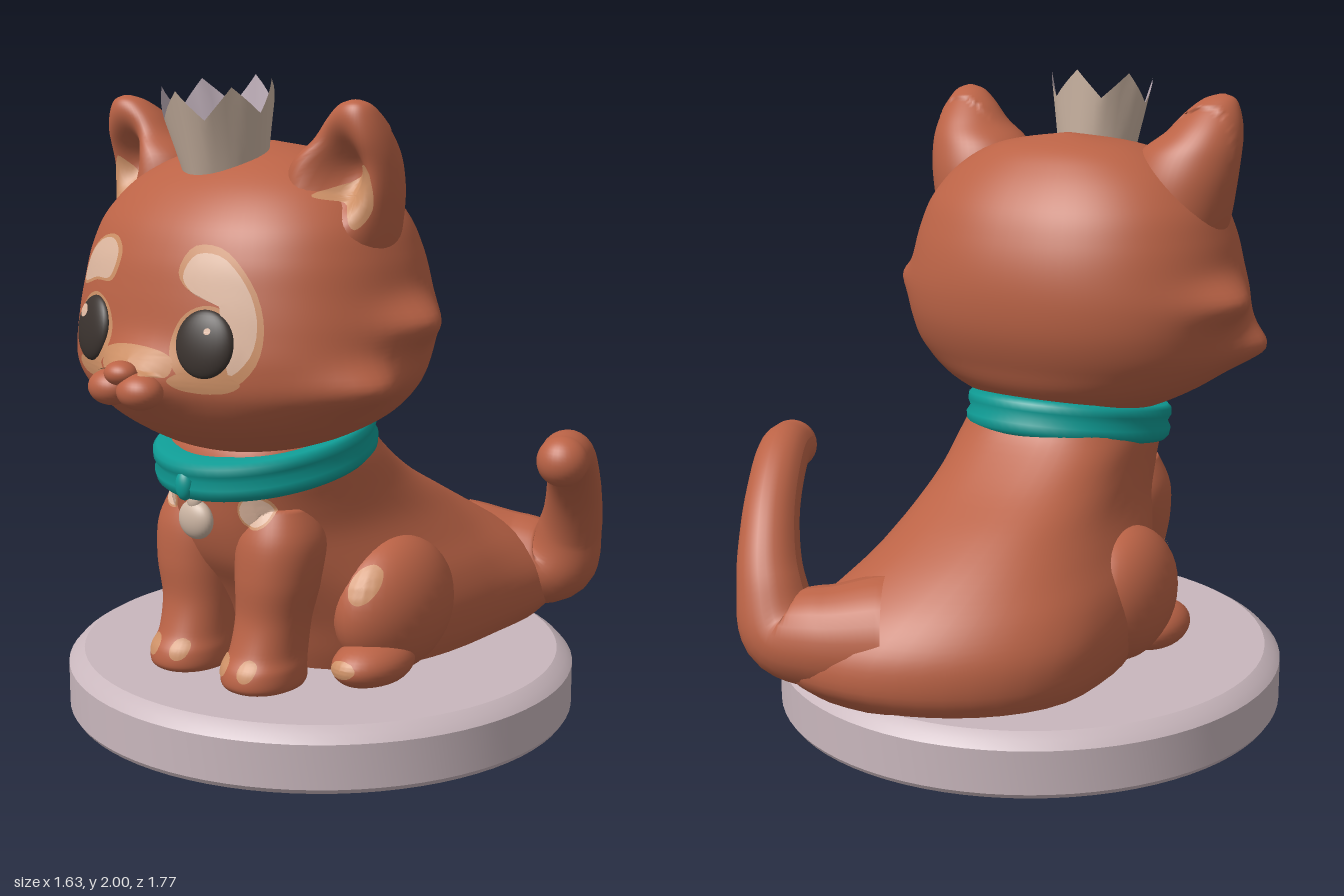
import * as THREE from 'three';
import { toCreasedNormals } from 'three/addons/utils/BufferGeometryUtils.js';

const mat = (name, color, side = THREE.FrontSide) => {
  const m = new THREE.MeshStandardMaterial({ color, side });
  m.name = name;
  return m;
};
const bell = (...d) => Math.exp(-d.reduce((sum, v) => sum + v * v, 0));

// Catmull-Rom blend of rows of numbers, t from 0 to 1
function blend(rows, t) {
  const f = t * (rows.length - 1), i = Math.min(Math.floor(f), rows.length - 2), u = f - i;
  const at = k => rows[Math.max(0, Math.min(rows.length - 1, k))];
  return rows[i].map((_, k) => {
    const a = at(i - 1)[k], b = at(i)[k], c = at(i + 1)[k], d = at(i + 2)[k];
    return b + 0.5 * u * (c - a + u * (2 * a - 5 * b + 4 * c - d + u * (3 * (b - c) + d - a)));
  });
}

// Smooth solid from level slices [y, centre x, half width, front z, back z], bottom to top
function loft(rows, { steps = 40, segs = 48, power = 2.2, warp } = {}) {
  const pos = [], index = [];
  const add = v => { if (warp) warp(v); pos.push(v.x, v.y, v.z); };
  for (let i = 0; i <= steps; i++) {
    const [y, cx, rx, front, back] = blend(rows, i / steps);
    for (let j = 0; j < segs; j++) {
      const a = j / segs * Math.PI * 2;
      const p = v => Math.sign(v) * Math.abs(v) ** (2 / power);
      add(new THREE.Vector3(cx + rx * p(Math.cos(a)), y, (front + back) / 2 + (front - back) / 2 * p(Math.sin(a))));
      if (i < steps) {
        const q = i * segs + j, r = i * segs + (j + 1) % segs;
        index.push(q, q + segs, r, r, q + segs, r + segs);
      }
    }
  }
  const bottom = (steps + 1) * segs, top = bottom + 1, last = steps * segs;
  for (const r of [rows[0], rows[rows.length - 1]]) add(new THREE.Vector3(r[1], r[0], (r[3] + r[4]) / 2));
  for (let j = 0; j < segs; j++) {
    const k = (j + 1) % segs;
    index.push(bottom, j, k, top, last + k, last + j);
  }
  const g = new THREE.BufferGeometry();
  g.setAttribute('position', new THREE.Float32BufferAttribute(pos, 3));
  g.setIndex(index);
  g.computeVertexNormals();
  return g;
}

export function createModel() {
  const group = new THREE.Group();
  const fur = mat('russet fur', 0xbb6346), tan = mat('tan marking', 0xcd9066), pale = mat('pale marking', 0xdfb8a0);
  const teal = mat('teal cloth', 0x0f9c95), dark = mat('dark eye', 0x3b332f), stone = mat('pale mauve base', 0xc9b7bd);
  const metal = mat('beige crown', 0xccb5a3), lining = mat('crown lining', 0xbcacb6, THREE.DoubleSide);
  const add = (name, geo, material, parent = group) => {
    const m = new THREE.Mesh(geo, material);
    m.name = name;
    parent.add(m);
    return m;
  };
  const blob = (name, material, p, s) => {
    const m = add(name, new THREE.SphereGeometry(1, 32, 20), material);
    m.position.set(...p);
    m.scale.set(...s);
    return m;
  };
  const lathe = (pts, n) => new THREE.LatheGeometry(pts.map(p => new THREE.Vector2(...p)), n);

  // Round base
  add('base', toCreasedNormals(lathe([[0, 0], [0.805, 0], [0.815, 0.015], [0.815, 0.15], [0.795, 0.172], [0.765, 0.19], [0, 0.19]], 80), 0.5), stone);

  // Seated body, swinging to the left at the rump
  const body = add('body', loft([
    [0.18, 0, 0.4, 0.27, -0.78], [0.25, 0, 0.43, 0.3, -0.84], [0.35, 0, 0.44, 0.34, -0.83], [0.45, 0, 0.415, 0.4, -0.75],
    [0.55, 0, 0.365, 0.47, -0.62], [0.65, 0, 0.325, 0.51, -0.46], [0.75, 0, 0.31, 0.53, -0.28], [0.86, 0, 0.305, 0.54, -0.13],
    [0.95, 0, 0.27, 0.5, -0.05], [1.02, 0, 0.2, 0.4, 0.05]],
  { power: 2.35, warp: v => { v.x += 0.21 * (Math.max(0, -0.35 - v.z) / 0.5) ** 2; } }), fur);
  const skin = [body];

  // Head with cheek tufts and a raised muzzle
  skin.push(add('head', loft([
    [0.885, 0, 0.03, 0.33, 0.27], [0.91, 0, 0.22, 0.52, 0.1], [1.0, 0, 0.42, 0.68, -0.05], [1.1, 0, 0.535, 0.75, -0.11],
    [1.2, 0, 0.57, 0.765, -0.15], [1.3, 0, 0.57, 0.755, -0.165], [1.4, 0, 0.55, 0.74, -0.16], [1.5, 0, 0.525, 0.715, -0.135],
    [1.6, 0, 0.48, 0.665, -0.09], [1.7, 0, 0.385, 0.565, -0.01], [1.77, 0, 0.24, 0.43, 0.08], [1.805, 0, 0.02, 0.25, 0.21]],
  { steps: 72, segs: 80, warp: v => {
    const tuft = 0.065 * bell((v.y - 1.31) / 0.06, (v.z - 0.22) / 0.14) + 0.075 * bell((v.y - 1.14) / 0.065, (v.z - 0.44) / 0.13);
    v.x += Math.sign(v.x) * tuft * Math.min(1, Math.abs(v.x) / 0.4);
    if (v.z > 0.3) v.z += 0.07 * bell(v.x / 0.14, (v.y - 1.15) / 0.085);
  } }), fur));

  for (const s of [-1, 1]) {
    const side = s > 0 ? 'left' : 'right';
    // Cupped ear
    skin.push(add(side + 'Ear', loft([
      [1.4, 0.34, 0.13, 0.42, 0.18], [1.52, 0.365, 0.15, 0.47, 0.14], [1.65, 0.37, 0.175, 0.48, 0.14], [1.75, 0.39, 0.165, 0.475, 0.17],
      [1.82, 0.43, 0.12, 0.465, 0.22], [1.88, 0.449, 0.085, 0.445, 0.28], [1.92, 0.462, 0.05, 0.42, 0.33], [1.935, 0.468, 0.01, 0.39, 0.37]]
      .map(r => [r[0], s * r[1], r[2], r[3], r[4]]),
    { power: 2, warp: v => { if (v.z > 0.3) v.z -= 0.15 * bell((v.x * s - 0.435) / 0.07, (v.y - 1.73) / 0.11); } }), fur));
    // Front leg and paw
    skin.push(add(side + 'FrontLeg', loft([
      [0.18, 0.155, 0.1, 0.54, 0.31], [0.205, 0.155, 0.115, 0.565, 0.29], [0.25, 0.155, 0.115, 0.56, 0.29], [0.3, 0.155, 0.107, 0.53, 0.28],
      [0.4, 0.16, 0.11, 0.505, 0.27], [0.52, 0.17, 0.125, 0.51, 0.24], [0.64, 0.17, 0.13, 0.5, 0.22], [0.74, 0.16, 0.1, 0.46, 0.25]]
      .map(r => [r[0], s * r[1], r[2], r[3], r[4]])), fur));
    // Haunch and hind foot
    skin.push(blob(side + 'Haunch', fur, [s * 0.335, 0.385, 0.03], [0.145, 0.215, 0.24]));
    skin.push(blob(side + 'HindFoot', fur, [s * 0.37, 0.24, 0.17], [0.105, 0.075, 0.155]));
    // Upper lip
    skin.push(blob(side + 'Lip', fur, [s * 0.06, 1.13, 0.822], [0.072, 0.052, 0.062]));
  }

  // Tail, tapering up and forward
  const path = new THREE.CatmullRomCurve3([
    [0.12, 0.36, -0.62], [0.28, 0.355, -0.71], [0.41, 0.37, -0.75], [0.47, 0.5, -0.735], [0.53, 0.65, -0.66],
    [0.59, 0.765, -0.55], [0.64, 0.82, -0.45], [0.675, 0.82, -0.37]].map(p => new THREE.Vector3(...p)));
  const radii = [[0.19], [0.165], [0.14], [0.11], [0.094], [0.086], [0.083], [0.08]];
  const tail = new THREE.TubeGeometry(path, 56, 1, 24);
  const tp = tail.attributes.position, v = new THREE.Vector3();
  for (let i = 0; i < tp.count; i++) {
    const u = Math.floor(i / 25) / 56, c = path.getPointAt(u);
    v.fromBufferAttribute(tp, i).sub(c).multiplyScalar(blend(radii, u)[0]).add(c);
    tp.setXYZ(i, v.x, v.y, v.z);
  }
  tail.computeVertexNormals();
  add('tail', tail, fur);
  blob('tailTip', fur, [0.675, 0.82, -0.37], [0.08, 0.08, 0.08]);

  // Collar with two folds, knot and pendant
  const collar = add('collar', lathe([[0.86, -0.058], [0.97, -0.06], [1.01, -0.045], [1.02, -0.02], [0.985, 0.002],
    [1.015, 0.022], [1.01, 0.045], [0.97, 0.058], [0.8, 0.058]], 64), teal);
  collar.position.set(0, 0.885, 0.25);
  collar.rotation.x = 0.17;
  collar.scale.set(0.323, 1, 0.36);
  blob('knot', teal, [0, 0.81, 0.6], [0.03, 0.045, 0.025]);
  blob('pendant', metal, [0, 0.698, 0.555], [0.065, 0.06, 0.035]);
  blob('pendantLoop', metal, [0, 0.755, 0.56], [0.025, 0.03, 0.02]);

  // Six-pointed crown, tipped forward
  const crown = new THREE.Group();
  crown.name = 'crown';
  crown.position.set(0, 1.73, 0.415);
  crown.rotation.x = 0.14;
  group.add(crown);
  const wall = bottomRadius => {
    const g = new THREE.CylinderGeometry(0.165, bottomRadius, 1, 48, 5, true), p = g.attributes.position;
    for (let i = 0; i < p.count; i++) {
      const turn = Math.atan2(p.getX(i), p.getZ(i)) / Math.PI * 3 + 6;
      const point = Math.abs(1 - 2 * (turn % 1));
      p.setY(i, (p.getY(i) + 0.5) * (0.165 + 0.085 * point));
    }
    g.computeVertexNormals();
    return g;
  };
  add('crownWall', wall(0.125), metal, crown);
  add('crownLining', wall(0.1), lining, crown);
  const cushion = add('crownCushion', new THREE.CircleGeometry(0.123, 40), teal, crown);
  cushion.rotation.x = -Math.PI / 2;
  cushion.position.y = 0.085;

  // Painted markings laid on the surface from the front
  group.updateMatrixWorld(true);
  const ray = new THREE.Raycaster();
  const probe = (x, y, lift) => {
    ray.set(new THREE.Vector3(x, y, 3), new THREE.Vector3(0, 0, -1));
    const hit = ray.intersectObjects(skin, false)[0];
    if (!hit) return null;
    const normal = hit.face.normal.clone().transformDirection(hit.object.matrixWorld);
    return { point: hit.point.clone().addScaledVector(normal, lift), normal };
  };
  function marking(name, material, outline, scale = 1, lift = 0.005) {
    const n = 36, rings = 7;
    const pts = new THREE.CatmullRomCurve3(outline.map(p => new THREE.Vector3(...p, 0)), true).getPoints(n).slice(0, n);
    if (THREE.ShapeUtils.isClockWise(pts)) pts.reverse();
    const mid = pts.reduce((a, p) => a.addScaledVector(p, 1 / n), new THREE.Vector3());
    const pos = [], index = [];
    let last = probe(mid.x, mid.y, lift).point;
    for (let r = 0; r <= rings; r++) for (let j = 0; j < n; j++) {
      const q = mid.clone().lerp(pts[j], scale * r / rings), hit = probe(q.x, q.y, lift);
      if (hit) last = hit.point;
      pos.push(last.x, last.y, last.z);
      if (r < rings) {
        const a = r * n + j, b = r * n + (j + 1) % n;
        index.push(a, a + n, b, b, a + n, b + n);
      }
    }
    const g = new THREE.BufferGeometry();
    g.setAttribute('position', new THREE.Float32BufferAttribute(pos, 3));
    g.setIndex(index);
    g.computeVertexNormals();
    add(name, g, material);
  }
  const edged = (name, outline) => {
    marking(name + 'Edge', tan, outline);
    marking(name, pale, outline, 0.86, 0.008);
  };
  const oval = (x, y, rx, ry) => [0, 1, 2, 3, 4, 5, 6, 7].map(k => [x + rx * Math.cos(k * Math.PI / 4), y + ry * Math.sin(k * Math.PI / 4)]);

  edged('rightBrow', [[-0.35, 1.39], [-0.33, 1.47], [-0.26, 1.53], [-0.17, 1.54], [-0.125, 1.5], [-0.15, 1.42], [-0.24, 1.41]]);
  edged('leftBrow', [[0.12, 1.46], [0.15, 1.53], [0.24, 1.53], [0.33, 1.45], [0.38, 1.33], [0.37, 1.22], [0.31, 1.16], [0.3, 1.28], [0.25, 1.39], [0.17, 1.41]]);
  marking('rightEarPatch', tan, [[-0.51, 1.75], [-0.46, 1.7], [-0.36, 1.75], [-0.39, 1.67], [-0.46, 1.61], [-0.51, 1.62]]);
  marking('leftEarPatch', tan, [[0.37, 1.67], [0.45, 1.72], [0.51, 1.76], [0.525, 1.64], [0.49, 1.58], [0.45, 1.64]]);
  marking('muzzleBand', tan, [[-0.14, 1.22], [-0.08, 1.245], [0.08, 1.245], [0.14, 1.22], [0.13, 1.175], [0, 1.19], [-0.13, 1.175]]);
  blob('nose', fur, [0, 1.178, 0.838], [0.052, 0.035, 0.045]);
  for (const s of [-1, 1]) {
    const side = s > 0 ? 'left' : 'right';
    marking(side + 'EyeRim', tan, oval(s * 0.23, 1.265, 0.108, 0.112));
    marking(side + 'CheekMark', tan, oval(s * 0.23, 1.165, 0.1, 0.03), 1, 0.007);
    edged(side + 'ChestPatch', oval(s * 0.175, 0.735, 0.048, s > 0 ? 0.055 : 0.045));
    marking(side + 'KneePatch', tan, oval(s * 0.375, 0.49, 0.04, 0.055));
    marking(side + 'HindToe', tan, oval(s * 0.37, 0.25, 0.045, 0.025));
    for (const x of [0.1, 0.195]) marking(side + 'FrontToe', tan, oval(s * x, 0.262, 0.026, 0.032));
    // Eye with a small glint
    const spot = probe(s * 0.23, 1.272, 0.004);
    const eye = blob(side + 'Eye', dark, spot.point.toArray(), [0.09, 0.096, 0.03]);
    eye.lookAt(spot.point.clone().add(spot.normal));
    eye.updateMatrixWorld(true);
    skin.push(eye);
    marking(side + 'Glint', pale, s > 0 ? oval(0.255, 1.31, 0.009, 0.009) : oval(-0.262, 1.32, 0.025, 0.018), 1, 0.003);
  }
  return group;
}
